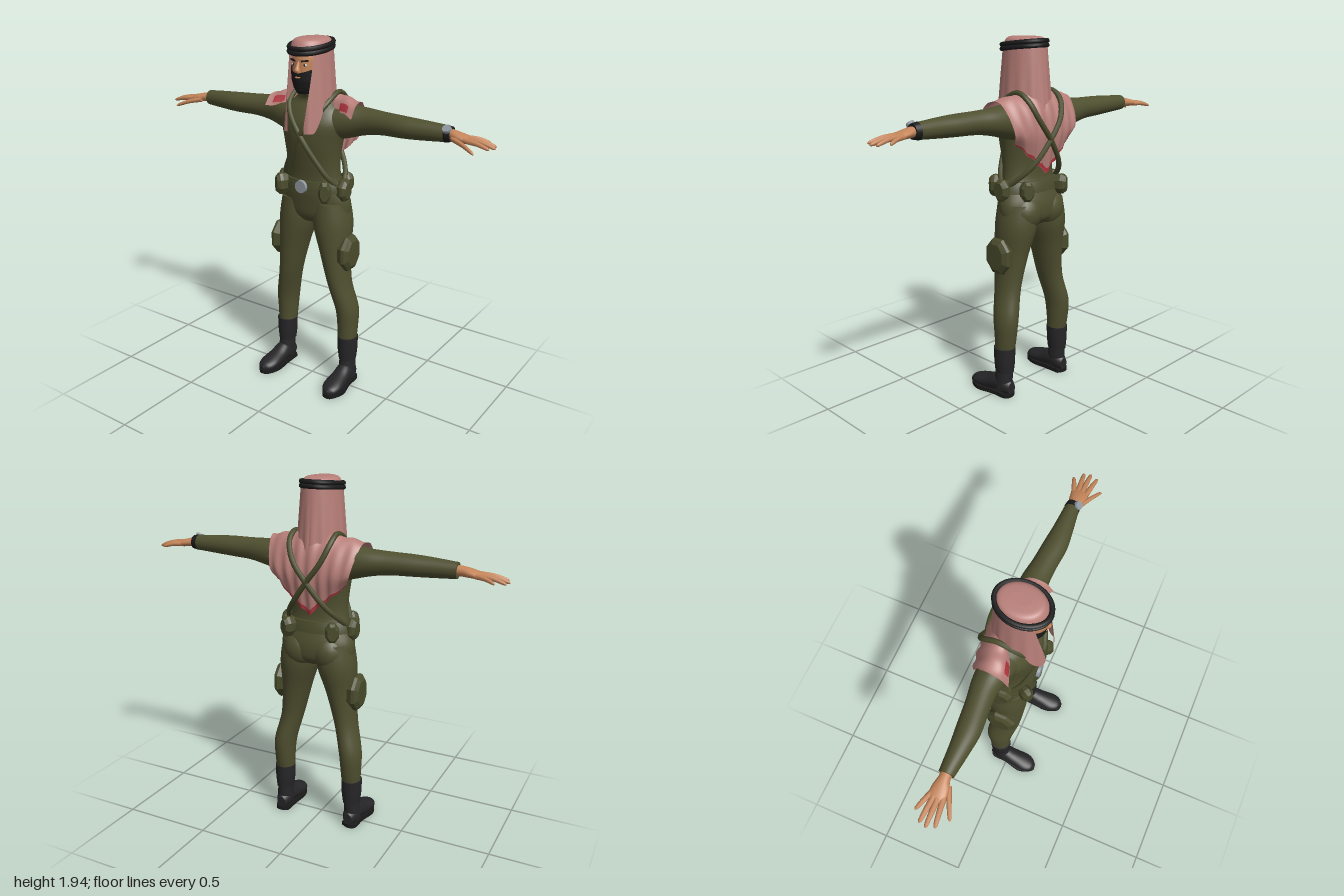
import * as THREE from 'three';

const mat = (name, color, side = THREE.FrontSide) => {
  const m = new THREE.MeshStandardMaterial({ color, side });
  m.name = name;
  return m;
};

// Skin over elliptical cross-sections [x, y, z, ra, rb] stacked along an axis
function loft(rings, axis = 'y', { n = 28, sub = 5, turn = 0 } = {}) {
  const a = new THREE.CatmullRomCurve3(rings.map(r => new THREE.Vector3(r[0], r[1], r[2])), false, 'catmullrom');
  const b = new THREE.CatmullRomCurve3(rings.map(r => new THREE.Vector3(r[3], r[4], 0)), false, 'catmullrom');
  const steps = (rings.length - 1) * sub, pos = [], idx = [];
  const k = 'xyz'.indexOf(axis);
  const flip = rings[rings.length - 1][k] < rings[0][k];
  const ring = t => {
    const c = a.getPoint(t), r = b.getPoint(t);
    for (let j = 0; j < n; j++) {
      const th = j / n * Math.PI * 2 + turn, co = Math.cos(th), si = Math.sin(th);
      if (axis === 'y') pos.push(c.x + r.x * co, c.y, c.z + r.y * si);
      else if (axis === 'x') pos.push(c.x, c.y + r.x * si, c.z + r.y * co);
      else pos.push(c.x + r.x * si, c.y + r.y * co, c.z);
    }
  };
  const tri = (p, q, r) => flip ? idx.push(p, r, q) : idx.push(p, q, r);
  for (let i = 0; i <= steps; i++) ring(i / steps);
  for (let i = 0; i < steps; i++) for (let j = 0; j < n; j++) {
    const p = i * n + j, q = i * n + (j + 1) % n;
    tri(p, p + n, q);
    tri(q, p + n, q + n);
  }
  for (const t of [0, 1]) {
    const s = pos.length / 3, c = a.getPoint(t);
    ring(t);
    pos.push(c.x, c.y, c.z);
    for (let j = 0; j < n; j++) {
      const p = s + j, q = s + (j + 1) % n;
      t ? tri(p, s + n, q) : tri(q, s + n, p);
    }
  }
  return build(pos, idx);
}

function build(pos, idx) {
  const g = new THREE.BufferGeometry();
  g.setAttribute('position', new THREE.Float32BufferAttribute(pos, 3));
  g.setIndex(idx);
  g.computeVertexNormals();
  return g;
}

// Open sheet from a function of u, v in 0..1
function sheet(f, nu, nv) {
  const pos = [], idx = [];
  for (let i = 0; i <= nv; i++) for (let j = 0; j <= nu; j++) pos.push(...f(j / nu, i / nv));
  for (let i = 0; i < nv; i++) for (let j = 0; j < nu; j++) {
    const p = i * (nu + 1) + j, q = p + nu + 1;
    idx.push(p, q, p + 1, p + 1, q, q + 1);
  }
  return build(pos, idx);
}

function mirrored(geo) {
  const g = geo.clone().scale(-1, 1, 1);
  const src = g.index ? [...g.index.array] : [...Array(g.attributes.position.count).keys()];
  for (let i = 0; i < src.length; i += 3) [src[i + 1], src[i + 2]] = [src[i + 2], src[i + 1]];
  g.setIndex(src);
  return g;
}

const tube = (pts, r, closed, seg = 90) => new THREE.TubeGeometry(
  new THREE.CatmullRomCurve3(pts.map(p => new THREE.Vector3(...p)), closed), seg, r, 8, closed);
const ball = (x, y, z, a, b, c) => new THREE.SphereGeometry(1, 20, 14).scale(a, b, c).translate(x, y, z);

// Chamfered eight-sided pouch facing +z, then turned outwards
function pouch(w, h, d, turn, x, y, z) {
  const g = loft([[0, 0, -d, w * .85, h * .85], [0, 0, 0, w, h], [0, 0, d * .5, w * .95, h * .95], [0, 0, d, w * .65, h * .7]],
    'z', { n: 8, sub: 1, turn: Math.PI / 8 }).toNonIndexed();
  g.computeVertexNormals();
  return g.rotateY(turn).translate(x, y, z);
}

export function createModel() {
  const root = new THREE.Group();
  const uniform = mat('olive uniform', 0x4f4f30), gear = mat('olive webbing', 0x4a4c2c);
  const cloth = mat('pink cloth', 0xb87f79, THREE.DoubleSide), red = mat('red trim', 0xb0353f, THREE.DoubleSide);
  const skin = mat('skin', 0xc4855a), black = mat('black', 0x1b1b1c, THREE.DoubleSide);
  const boot = mat('boot leather', 0x262628), silver = mat('silver', 0x8f979f), white = mat('eye white', 0xd8d4cc);
  const add = (name, geo, m) => {
    const mesh = new THREE.Mesh(geo, m);
    mesh.name = name;
    root.add(mesh);
  };
  const pair = (name, geo, m) => {
    add(name + 'Left', geo, m);
    add(name + 'Right', mirrored(geo), m);
  };

  // Body
  add('torso', loft([[0, .96, -.04, .09, .08], [0, 1.0, -.045, .195, .112], [0, 1.07, -.042, .21, .12], [0, 1.14, -.03, .19, .115],
    [0, 1.21, -.02, .163, .1], [0, 1.3, -.015, .158, .105], [0, 1.4, -.015, .17, .12], [0, 1.5, -.02, .19, .125],
    [0, 1.57, -.035, .175, .11], [0, 1.62, -.04, .12, .085], [0, 1.66, -.02, .078, .075], [0, 1.7, 0, .068, .07]], 'y', { n: 40 }), uniform);
  pair('buttock', ball(.085, 1.03, -.085, .095, .1, .085), uniform);
  pair('leg', loft([[.1, 1.08, -.04, .1, .11], [.112, .95, -.04, .107, .118], [.135, .8, -.03, .081, .1], [.165, .62, -.03, .062, .082],
    [.202, .46, -.053, .061, .076], [.208, .35, -.055, .056, .065], [.208, .27, -.05, .052, .056]]), uniform);
  pair('arm', loft([[.08, 1.5, -.04, .095, .1], [.2, 1.52, -.05, .088, .085], [.3, 1.53, -.058, .07, .07], [.4, 1.535, -.05, .059, .062],
    [.52, 1.535, -.04, .055, .061], [.62, 1.535, -.04, .05, .051], [.75, 1.535, -.045, .041, .038]], 'x'), uniform);

  // Hands
  pair('palm', loft([[.72, 1.535, -.045, .03, .028], [.77, 1.535, -.045, .026, .029], [.81, 1.53, -.043, .023, .04],
    [.85, 1.524, -.043, .018, .043], [.88, 1.52, -.043, .01, .034]], 'x', { n: 16 }), skin);
  [[.79, 1.522, -.015, .93, 1.482, .05], [.85, 1.523, -.012, .985, 1.502, .005], [.86, 1.525, -.035, 1, 1.5, -.035],
    [.86, 1.524, -.055, .99, 1.5, -.07], [.84, 1.523, -.07, .945, 1.505, -.11]].forEach(([x, y, z, X, Y, Z], i) => {
    const at = (t, r) => [x + (X - x) * t, y + (Y - y) * t + .006 * Math.sin(t * Math.PI), z + (Z - z) * t, r, r * 1.1];
    pair('finger' + (i + 1), loft([at(0, .014), at(.5, .012), at(.9, .009), at(1, .003)], 'x', { n: 8, sub: 3 }), skin);
  });
  add('watchBand', loft([[.746, 1.535, -.045, .043, .041], [.776, 1.535, -.045, .037, .036]], 'x'), black);
  add('watchFace', new THREE.CylinderGeometry(.021, .023, .014, 20).rotateX(.75).translate(.761, 1.565, -.015), silver);

  // Boots
  pair('bootShaft', loft([[.212, .285, -.05, .057, .061], [.212, .21, -.05, .055, .06], [.213, .145, -.05, .047, .056]], 'y'), boot);
  pair('bootAnkle', loft([[.213, .16, -.05, .042, .05], [.215, .1, -.045, .045, .054], [.218, .04, -.04, .045, .058]], 'y'), boot);
  pair('bootFoot', loft([[.214, .05, -.105, .026, .035], [.215, .062, -.07, .043, .05], [.217, .068, -.01, .047, .055],
    [.22, .052, .05, .051, .046], [.223, .042, .12, .056, .035], [.226, .034, .165, .04, .026], [.227, .03, .184, .012, .012]], 'z'), boot);
  const sole = new THREE.Shape(new THREE.SplineCurve([[.175, .09], [.215, .108], [.255, .09], [.262, 0], [.284, -.1], [.255, -.175],
    [.225, -.188], [.19, -.17], [.165, -.1], [.172, 0], [.175, .09]].map(p => new THREE.Vector2(...p))).getPoints(40));
  pair('bootSole', new THREE.ExtrudeGeometry(sole, { depth: .022, bevelEnabled: false }).rotateX(-Math.PI / 2), black);

  // Head and face
  const headRings = [[0, 1.665, .055, .035, .04], [0, 1.69, .045, .056, .064], [0, 1.73, .035, .07, .083],
    [0, 1.79, .025, .078, .095], [0, 1.86, .015, .08, .1], [0, 1.915, .005, .06, .075]];
  add('head', loft(headRings, 'y'), skin);
  const headAt = (th, y, off) => {
    let i = 0;
    while (i < 4 && headRings[i + 1][1] < y) i++;
    const p = headRings[i], q = headRings[i + 1], t = (y - p[1]) / (q[1] - p[1]);
    const mix = k => p[k] + (q[k] - p[k]) * t;
    return [(mix(3) + off) * Math.sin(th), y, mix(2) + (mix(4) + off) * Math.cos(th)];
  };
  add('beard', sheet((u, v) => {
    const th = (u - .5) * 3.4, top = 1.772 + .03 * Math.sin(th) ** 2;
    return headAt(th, 1.662 + (top - 1.662) * v, .009);
  }, 32, 14), black);
  add('chinBeard', ball(0, 1.688, .085, .042, .026, .032), black);
  add('mouth', ball(0, 1.748, .124, .018, .005, .008), skin);
  add('nose', loft([[0, 1.772, .125, .017, .014], [0, 1.785, .128, .015, .016], [0, 1.805, .122, .009, .012], [0, 1.83, .11, .007, .008]], 'y', { n: 14 }), skin);
  pair('eye', ball(.033, 1.81, .108, .014, .006, .006), white);
  pair('iris', ball(.033, 1.81, .112, .005, .006, .004), black);
  pair('eyebrow', new THREE.BoxGeometry(.038, .008, .009).rotateZ(.12).rotateY(.3).translate(.035, 1.831, .112), black);

  // Headcloth: crown, hanging hood with front panels, shoulder cape
  add('headclothCrown', loft([[0, 1.855, 0, .104, .127], [0, 1.89, 0, .1, .125], [0, 1.92, -.002, .09, .114], [0, 1.934, -.003, .07, .095],
    [0, 1.938, -.003, .03, .05]], 'y', { n: 36 }), cloth);
  const hood = (u, v) => {
    const open = .85 - .45 * Math.min(1, v * 1.1), th = open + (Math.PI - open) * u;
    const lift = THREE.MathUtils.smoothstep(th, .75, 1.35);
    const y = 1.89 - v * (.42 - .15 * lift + .1 * THREE.MathUtils.smoothstep(th, 2, 2.9));
    const d = (1.89 - y) / .42, fold = 1 + .03 * d * Math.sin(th * 13);
    return [(.103 + .03 * d) * Math.sin(th) * fold, y, .002 + (.127 + .035 * d) * Math.cos(th) * fold];
  };
  pair('headclothHood', sheet(hood, 60, 18), cloth);
  const cape = (u, v) => {
    const s = u * 2 - 1, a = Math.abs(s), sh = 1.672 - .058 * a, low = 1.24 + .17 * a;
    const path = new THREE.CatmullRomCurve3([[-.05 + .1 * a, sh - .055], [-.06 + .06 * a, sh], [-.08, sh + .008], [-.145, sh - .06],
      [-.178, 1.46], [-.15, low]].map(([z, y]) => new THREE.Vector3(0, y, z)));
    const p = path.getPoint(v), k = 1 - .27 * v * v;
    return [.272 * s * k, p.y + .004 * Math.sin(s * 17 + v * 6), p.z + .006 * Math.sin(s * 22) * v + .03 * a ** 4 * v];
  };
  add('shoulderCape', sheet(cape, 56, 30), cloth);
  const trim = (u0, u1, v0, v1, up) => sheet((u, v) => {
    const p = cape(u0 + (u1 - u0) * u, v0 + (v1 - v0) * v);
    return [p[0], p[1] + up, p[2] + (up ? .002 : -.003)];
  }, 40, 6);
  add('capeHem', trim(0, 1, .975, 1, 0), red);
  pair('capePatch', trim(.82, .93, .02, .13, .003), red);

  // Twin cords round the crown, lower at the front
  for (const [i, dy] of [-.011, .011].entries()) {
    const pts = [...Array(24).keys()].map(j => {
      const t = j / 24 * Math.PI * 2, z = .006 + .131 * Math.cos(t);
      return [.101 * Math.sin(t), 1.893 + dy - .11 * z, z];
    });
    add('headCord' + (i + 1), tube(pts, .0125, true, 64), black);
  }

  // Crossed straps, belt and pouches
  pair('crossStrap', tube([[.12, 1.66, -.07], [.115, 1.615, .035], [.085, 1.555, .08], [0, 1.45, .114], [-.08, 1.32, .088], [-.14, 1.22, .045],
    [-.172, 1.17, -.02], [-.15, 1.22, -.095], [-.09, 1.3, -.158], [0, 1.42, -.186], [.08, 1.53, -.18], [.115, 1.62, -.14]], .0145, true), gear);
  add('belt', loft([[0, 1.14, -.026, .196, .124], [0, 1.17, -.024, .19, .121], [0, 1.2, -.022, .178, .114]], 'y', { n: 40, sub: 2 }), gear);
  add('buckle', new THREE.CylinderGeometry(.034, .036, .016, 24).rotateX(Math.PI / 2).translate(0, 1.17, .102), silver);
  pair('frontPouch', pouch(.036, .064, .032, .55, .14, 1.16, .085), gear);
  pair('sidePouch', pouch(.052, .064, .028, Math.PI / 2, .192, 1.155, -.02), gear);
  pair('backPouch', pouch(.04, .058, .032, Math.PI - .5, .13, 1.16, -.142), gear);
  pair('thighPouch', pouch(.09, .105, .032, Math.PI / 2, .226, .805, -.026), gear);
  return root;
}
